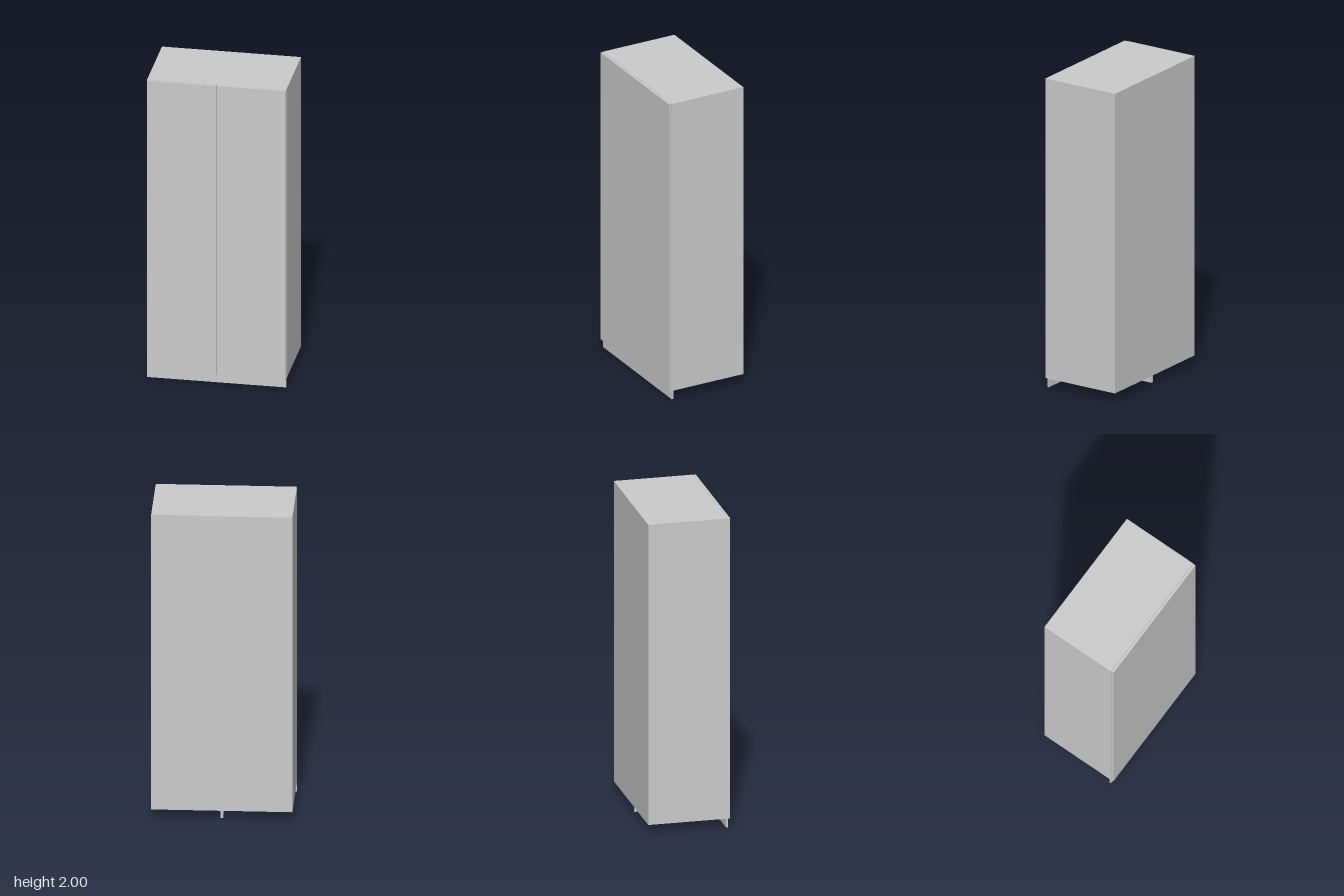
import * as THREE from 'three';

export function createModel() {
  const model = new THREE.Group();
  const material = new THREE.MeshStandardMaterial({ color: 0xcccccc, flatShading: true });

  // Box given by its lower and upper bounds on each axis
  function panel(name, [x0, x1], [y0, y1], [z0, z1]) {
    const mesh = new THREE.Mesh(new THREE.BoxGeometry(x1 - x0, y1 - y0, z1 - z0), material);
    mesh.name = name;
    mesh.position.set((x0 + x1) / 2, (y0 + y1) / 2, (z0 + z1) / 2);
    model.add(mesh);
  }

  const halfWidth = 0.434;
  const base = 0.056;

  // Cabinet body
  panel('carcass', [-halfWidth, halfWidth], [base, 2], [-0.26, 0.241]);

  // Pair of plain doors with a hairline gap between them
  panel('leftDoor', [0.001, 0.432], [base, 1.999], [0.243, 0.259]);
  panel('rightDoor', [-0.432, -0.001], [base, 1.999], [0.243, 0.259]);

  // Front plinth and the central support rail behind it
  panel('plinth', [-halfWidth, halfWidth], [0, base], [0.232, 0.243]);
  panel('supportRail', [-0.008, 0.008], [0, base], [-0.24, 0.232]);

  return model;
}
